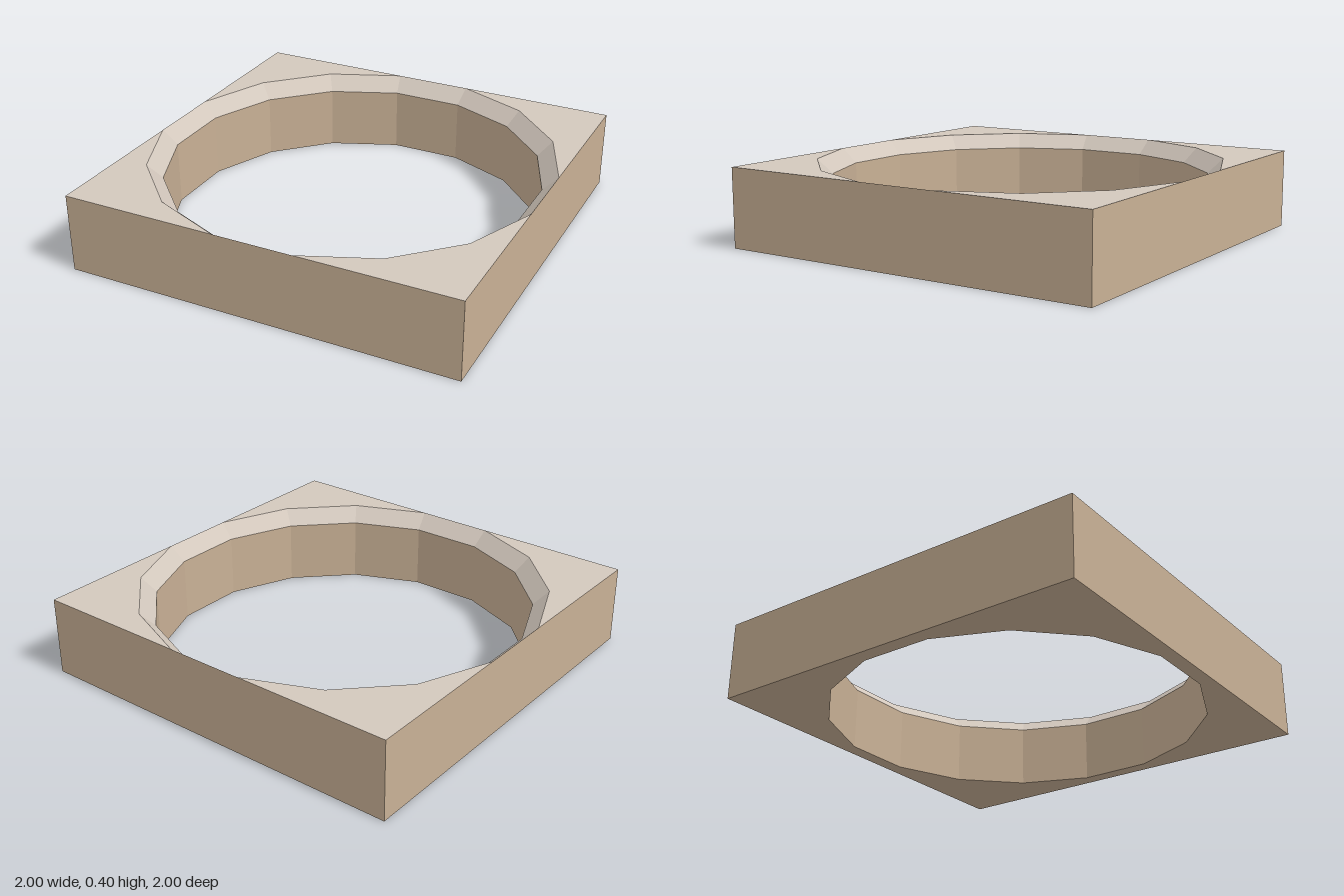
import * as THREE from 'three';

const HEIGHT = 0.4;
const CHAMFER = 0.075;
const SIDES = 16;
// Corner radius of a polygon from the distance to its flat sides
const cornerRadius = (apothem, sides) => apothem / Math.cos(Math.PI / sides);

const bodyMaterial = new THREE.MeshStandardMaterial({ color: 0xc8b095, flatShading: true });
const topMaterial = new THREE.MeshStandardMaterial({ color: 0xd3c8bd, flatShading: true });

function addMesh(group, name, geometry, material) {
  const flat = geometry.toNonIndexed();
  flat.computeVertexNormals();
  const mesh = new THREE.Mesh(flat, material);
  mesh.name = name;
  group.add(mesh);
}

// Polygonal band from [apothem, y] to [apothem, y]; rising bands face out, falling bands face in
function band(from, to, sides) {
  const points = [from, to].map(([a, y]) => new THREE.Vector2(cornerRadius(a, sides), y));
  return new THREE.LatheGeometry(points, sides, Math.PI / sides);
}

// Corners k = first..last of the sixteen-sided opening
function openingPoints(apothem, first, last) {
  const r = cornerRadius(apothem, SIDES);
  const points = [];
  for (let k = first; k <= last; k++) {
    const angle = ((k + 0.5) * 2 * Math.PI) / SIDES;
    points.push(new THREE.Vector2(r * Math.cos(angle), r * Math.sin(angle)));
  }
  return points;
}

export function createModel() {
  const group = new THREE.Group();
  group.name = 'squareFrame';
  const inner = 1 - CHAMFER;

  // Outer walls, inner wall and sloped rim of the opening
  addMesh(group, 'outerWalls', band([1, 0], [1, HEIGHT], 4), bodyMaterial);
  addMesh(group, 'openingWall', band([inner, HEIGHT - CHAMFER], [inner, 0], SIDES), bodyMaterial);
  addMesh(group, 'chamferedRim', band([1, HEIGHT], [inner, HEIGHT - CHAMFER], SIDES), topMaterial);

  // Underside with the opening cut through
  const square = new THREE.Shape([[-1, -1], [1, -1], [1, 1], [-1, 1]].map(([x, y]) => new THREE.Vector2(x, y)));
  square.holes.push(new THREE.Path(openingPoints(inner, 0, SIDES - 1)));
  addMesh(group, 'underside', new THREE.ShapeGeometry(square).rotateX(Math.PI / 2), bodyMaterial);

  // The rim touches the outer edges, leaving four separate top corners
  const corner = new THREE.Shape([...openingPoints(1, 0, 3), new THREE.Vector2(1, 1)]);
  for (let i = 0; i < 4; i++) {
    const geometry = new THREE.ShapeGeometry(corner)
      .rotateX(-Math.PI / 2)
      .rotateY((i * Math.PI) / 2)
      .translate(0, HEIGHT, 0);
    addMesh(group, `topCorner${i + 1}`, geometry, topMaterial);
  }
  return group;
}
